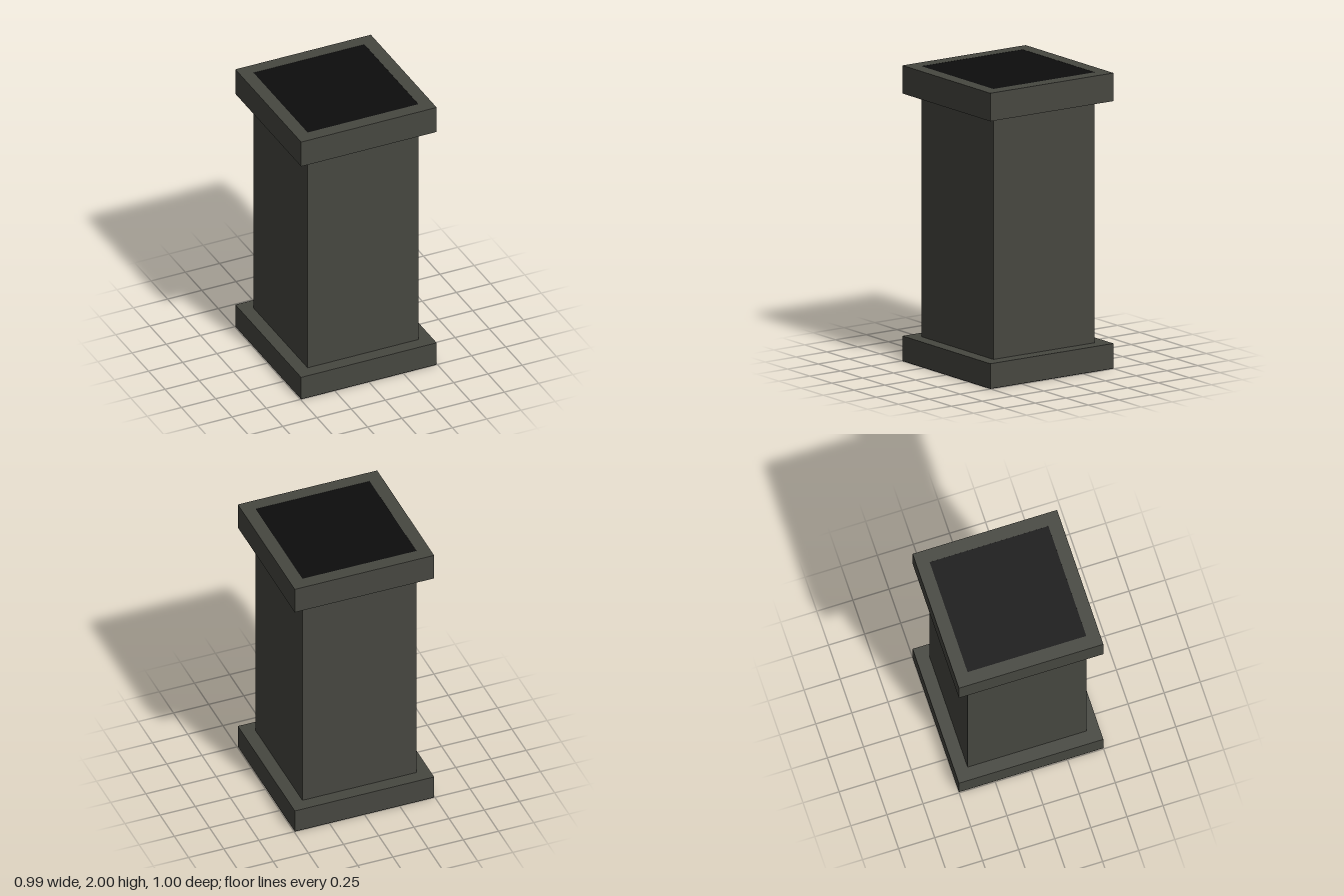
import * as THREE from 'three';

const stone = new THREE.MeshStandardMaterial({ color: 0x464740 });
stone.name = 'dark stone';
const black = new THREE.MeshStandardMaterial({ color: 0x0d0d0d });
black.name = 'black';

// Rectangular outline of half-width w and half-depth d
function rect(Type, w, d) {
  const r = new Type();
  r.moveTo(-w, -d);
  r.lineTo(w, -d);
  r.lineTo(w, d);
  r.lineTo(-w, d);
  r.closePath();
  return r;
}

// Hollow square tube standing between y0 and y1
function frame(name, outer, inner, y0, y1, material) {
  const shape = rect(THREE.Shape, ...outer);
  shape.holes.push(rect(THREE.Path, ...inner));
  const geometry = new THREE.ExtrudeGeometry(shape, { depth: y1 - y0, bevelEnabled: false });
  geometry.rotateX(-Math.PI / 2);
  geometry.translate(0, y0, 0);
  const mesh = new THREE.Mesh(geometry, material);
  mesh.name = name;
  return mesh;
}

export function createModel() {
  const model = new THREE.Group();
  model.name = 'pillar';

  const flange = [0.495, 0.5];
  const shaft = [0.405, 0.411];
  const bore = [0.325, 0.33];

  // Hollow shaft, set a little way into both collars
  model.add(frame('shaft', shaft, bore, 0.1, 1.99, stone));

  // Collars around both ends
  model.add(frame('baseCollar', flange, shaft, 0.004, 0.17, stone));
  model.add(frame('topCollar', flange, shaft, 1.81, 2, stone));

  // Black underside of the base
  model.add(frame('baseUnderside', flange, shaft, 0, 0.004, black));

  // Black plate closing the top
  const plate = new THREE.Mesh(new THREE.BoxGeometry(shaft[0] * 2, 0.008, shaft[1] * 2), black);
  plate.name = 'topPlate';
  plate.position.y = 1.995;
  model.add(plate);

  return model;
}
